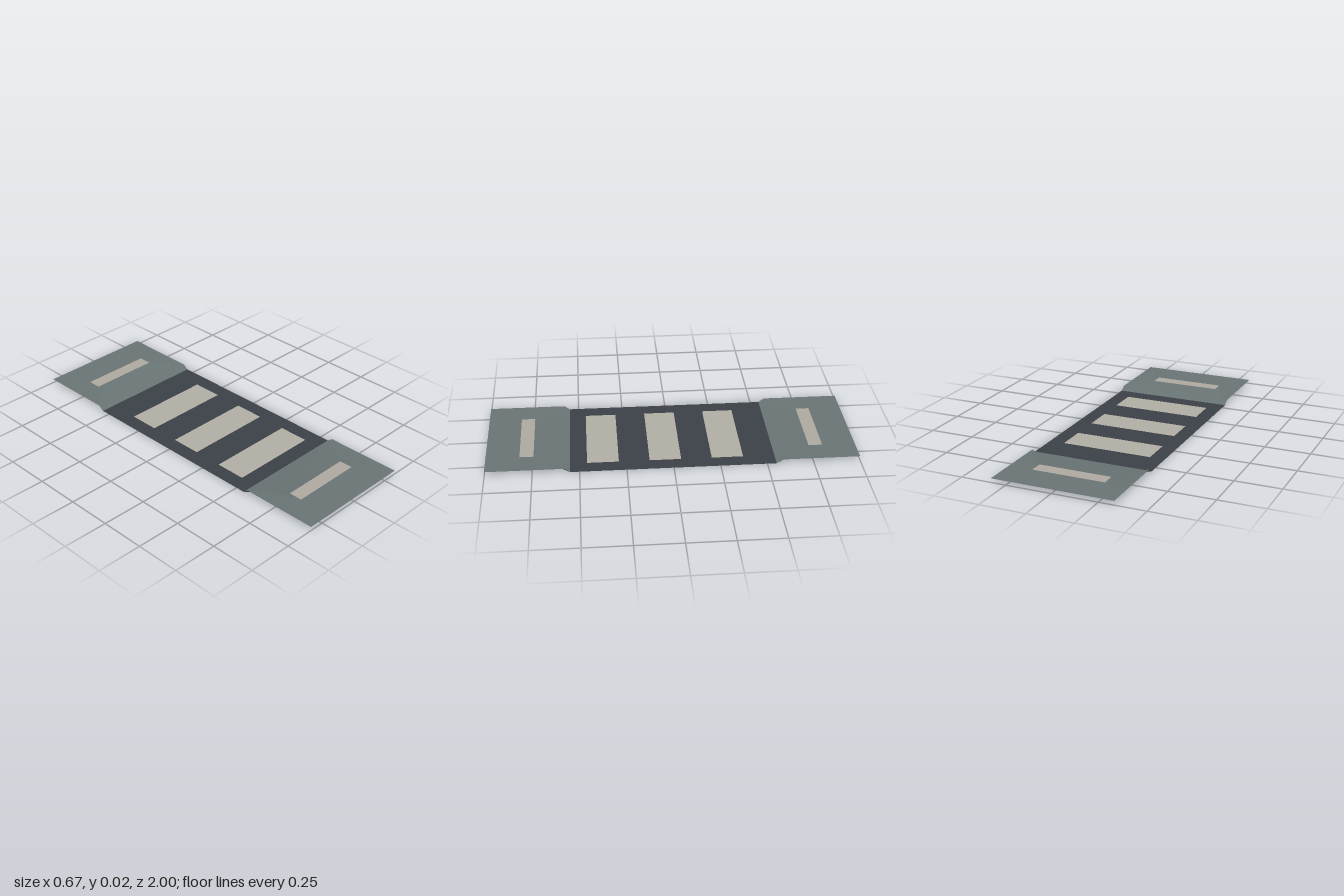
import * as THREE from 'three';

const W = 0.333; // half width
const H = 0.022; // pavement height

const flat = (name, color) => {
  const m = new THREE.MeshStandardMaterial({ color, side: THREE.DoubleSide });
  m.name = name;
  return m;
};

// rectangle path in the ground plane
function rect(path, x, z0, z1) {
  path.moveTo(-x, -z0);
  path.lineTo(-x, -z1);
  path.lineTo(x, -z1);
  path.lineTo(x, -z0);
  path.closePath();
  return path;
}

// horizontal plate, optionally with rectangular openings
function plate(name, material, x, z0, z1, y, holes = []) {
  const shape = rect(new THREE.Shape(), x, z0, z1);
  for (const [hx, a, b] of holes) shape.holes.push(rect(new THREE.Path(), hx, a, b));
  const geo = new THREE.ShapeGeometry(shape).rotateX(-Math.PI / 2).translate(0, y, 0);
  const mesh = new THREE.Mesh(geo, material);
  mesh.name = name;
  return mesh;
}

// raised pavement with a dropped kerb and flared sides
function pavementGeometry() {
  const points = [
    [-W, 0, 0.55], [W, 0, 0.55],         // 0 1 kerb foot
    [-W, H, 0.58], [W, H, 0.58],         // 2 3 kerb top
    [-0.2, H, 0.745], [0.2, H, 0.745],   // 4 5 ramp top
    [-0.2, H, 0.82], [0.2, H, 0.82],     // 6 7 far side of the warning strip
    [-W, H, 1], [W, H, 1],               // 8 9 outer edge
  ];
  const geo = new THREE.BufferGeometry();
  geo.setAttribute('position', new THREE.Float32BufferAttribute(points.flat(), 3));
  geo.setIndex([
    0, 4, 5, 0, 5, 1,                    // ramp
    0, 2, 4, 1, 5, 3,                    // flares
    2, 8, 6, 2, 6, 4,                    // flat surround
    8, 9, 7, 8, 7, 6,
    5, 7, 9, 5, 9, 3,
  ]);
  geo.computeVertexNormals();
  return geo;
}

export function createModel() {
  const group = new THREE.Group();
  group.name = 'crosswalk';
  const asphalt = flat('asphalt', 0x3d4148);
  const paving = flat('paving', 0x6b7676);
  const paint = flat('stripePaint', 0xb4b1a7);
  const tactile = flat('warningStrip', 0xb2aca2);

  // road with painted stripes set flush into it
  const stripes = [-0.38, -0.045, 0.29].map((z) => [0.25, z, z + 0.17]);
  group.add(plate('road', asphalt, W, -0.55, 0.55, 0, stripes));
  stripes.forEach(([x, a, b]) => group.add(plate('stripe', paint, x, a, b, 0)));

  // a pavement at each end
  const geo = pavementGeometry();
  for (const [name, turn] of [['frontPavement', 0], ['backPavement', Math.PI]]) {
    const end = new THREE.Group();
    end.name = name;
    end.rotation.y = turn;
    const slab = new THREE.Mesh(geo, paving);
    slab.name = 'pavementSlab';
    end.add(slab, plate('warningStrip', tactile, 0.2, 0.745, 0.82, H));
    group.add(end);
  }
  return group;
}
